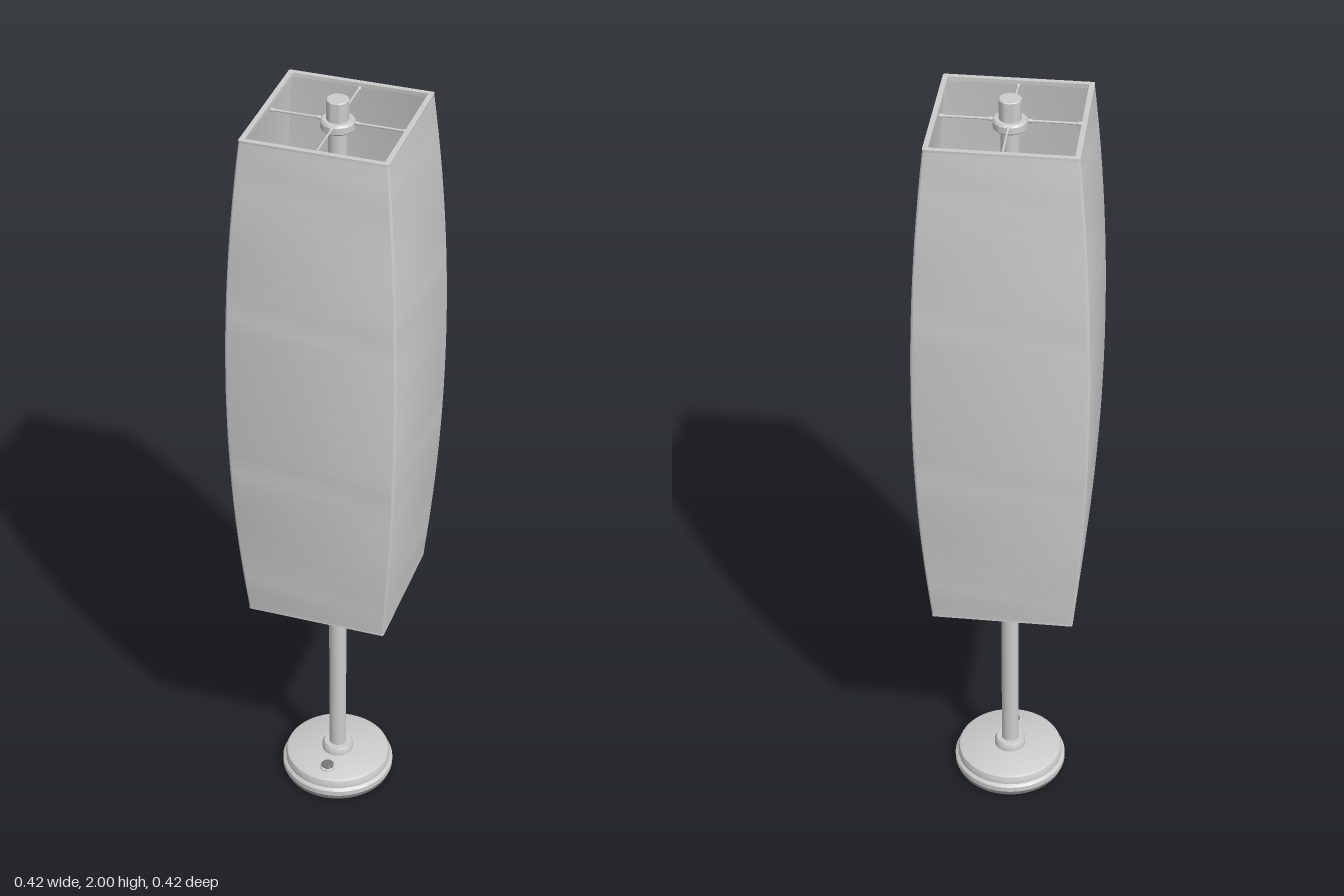
import * as THREE from 'three';
import { toCreasedNormals } from 'three/addons/utils/BufferGeometryUtils.js';

const grey = new THREE.MeshStandardMaterial({ color: 0xcccccc });
const dark = new THREE.MeshStandardMaterial({ color: 0x777777 });

function add(parent, name, geometry, material = grey, x = 0, y = 0, z = 0) {
  const mesh = new THREE.Mesh(geometry, material);
  mesh.name = name;
  mesh.position.set(x, y, z);
  parent.add(mesh);
  return mesh;
}

// Turned solid from [radius, height] pairs
const turned = (points, sides = 48) => toCreasedNormals(
  new THREE.LatheGeometry(points.map(([r, y]) => new THREE.Vector2(r, y)), sides), 0.6);

function roundedSquare(path, h, r) {
  path.moveTo(h, -h + r);
  path.lineTo(h, h - r);
  path.absarc(h - r, h - r, r, 0, Math.PI / 2);
  path.lineTo(-h + r, h);
  path.absarc(-h + r, h - r, r, Math.PI / 2, Math.PI);
  path.lineTo(-h, -h + r);
  path.absarc(-h + r, -h + r, r, Math.PI, Math.PI * 1.5);
  path.lineTo(h - r, -h);
  path.absarc(h - r, -h + r, r, Math.PI * 1.5, Math.PI * 2);
  return path;
}

// Upright square tube of the given half width and wall
function squareTube(half, wall, radius, height, steps) {
  const shape = roundedSquare(new THREE.Shape(), half, radius);
  shape.holes.push(roundedSquare(new THREE.Path(), half - wall, radius * 0.5));
  return new THREE.ExtrudeGeometry(shape, { depth: height, steps, bevelEnabled: false, curveSegments: 5 })
    .rotateX(-Math.PI / 2);
}

export function createModel() {
  const lamp = new THREE.Group();
  lamp.name = 'floorLamp';

  // Base with a dark foot, stepped rim and foot switch
  add(lamp, 'foot', turned([[0, 0], [0.136, 0], [0.14, 0.004], [0.14, 0.016], [0, 0.016]], 64), dark);
  add(lamp, 'base', turned([[0, 0.014], [0.141, 0.014], [0.145, 0.018], [0.145, 0.032], [0.142, 0.036],
    [0.137, 0.038], [0.137, 0.052], [0.134, 0.059], [0.127, 0.063], [0, 0.064]], 64));
  add(lamp, 'switchRing', turned([[0, 0], [0.02, 0], [0.02, 0.004], [0.017, 0.006], [0, 0.006]], 32), grey, 0, 0.063, 0.085);
  add(lamp, 'switchButton', turned([[0, 0], [0.016, 0], [0.016, 0.009], [0.014, 0.011], [0, 0.011]], 32), dark, 0, 0.064, 0.085);

  // Pole, its collars and the cap on top
  add(lamp, 'poleCollar', turned([[0, 0.06], [0.04, 0.06], [0.04, 0.078], [0.035, 0.086], [0, 0.086]]));
  add(lamp, 'pole', new THREE.CylinderGeometry(0.022, 0.022, 1.88, 40), grey, 0, 1.01, 0);
  add(lamp, 'topCap', turned([[0, 1.94], [0.026, 1.94], [0.026, 1.998], [0.024, 2], [0, 2]]));

  // Curved shade swelling towards the middle
  const y0 = 0.625, height = 1.33;
  const shade = squareTube(0.175, 0.006, 0.006, height, 24);
  const p = shade.attributes.position;
  for (let i = 0; i < p.count; i++) {
    const t = p.getY(i) / height * 2 - 1;
    const s = 1 + 0.2 * (1 - t * t);
    p.setX(i, p.getX(i) * s);
    p.setZ(i, p.getZ(i) * s);
  }
  add(lamp, 'shade', toCreasedNormals(shade, 0.5), grey, 0, y0, 0);

  // Frames at both ends of the shade, each with a hub and four spokes
  for (const [name, y, spokeY, hubY] of [['bottom', y0 - 0.001, y0 + 0.007, y0 - 0.012],
    ['top', y0 + height - 0.009, y0 + height - 0.01, y0 + height - 0.03]]) {
    const frame = new THREE.Group();
    frame.name = name + 'Frame';
    lamp.add(frame);
    add(frame, 'rim', toCreasedNormals(squareTube(0.1755, 0.0125, 0.005, 0.01, 1), 0.5), grey, 0, y, 0);
    add(frame, 'hub', turned([[0, 0], [0.036, 0], [0.04, 0.004], [0.04, 0.02], [0.036, 0.025], [0, 0.025]]), grey, 0, hubY, 0);
    for (let i = 0; i < 4; i++) {
      const spoke = new THREE.Group();
      spoke.name = 'spoke';
      spoke.position.y = spokeY;
      spoke.rotation.y = i * Math.PI / 2;
      frame.add(spoke);
      add(spoke, 'rod', new THREE.CylinderGeometry(0.0028, 0.0028, 0.13, 12).rotateZ(Math.PI / 2), grey, 0.1, 0, 0);
      for (const x of [0.045, 0.157]) {
        add(spoke, 'tip', new THREE.CapsuleGeometry(0.0045, 0.005, 4, 12).rotateZ(Math.PI / 2), grey, x, 0, 0);
      }
    }
  }

  // Two lamp holders with bulbs inside the shade
  const bulb = turned([[0, 0], [0.014, 0], [0.015, 0.025], [0.023, 0.045], [0.029, 0.06], [0.031, 0.075],
    [0.029, 0.087], [0.023, 0.097], [0.012, 0.104], [0, 0.106]], 32);
  add(lamp, 'holderHub', new THREE.CylinderGeometry(0.036, 0.036, 0.05, 40), grey, 0, 1.28, 0);
  for (const side of [-1, 1]) {
    const holder = new THREE.Group();
    holder.name = side > 0 ? 'leftHolder' : 'rightHolder';
    holder.position.set(side * 0.083, 1.28, 0);
    lamp.add(holder);
    add(holder, 'arm', new THREE.BoxGeometry(0.07, 0.03, 0.042), grey, -side * 0.03, 0, 0);
    add(holder, 'socket', turned([[0, -0.02], [0.019, -0.02], [0.021, -0.016], [0.021, 0.05], [0, 0.05]], 32));
    add(holder, 'bulb', bulb, dark, 0, 0.045, 0);
  }

  return lamp;
}
